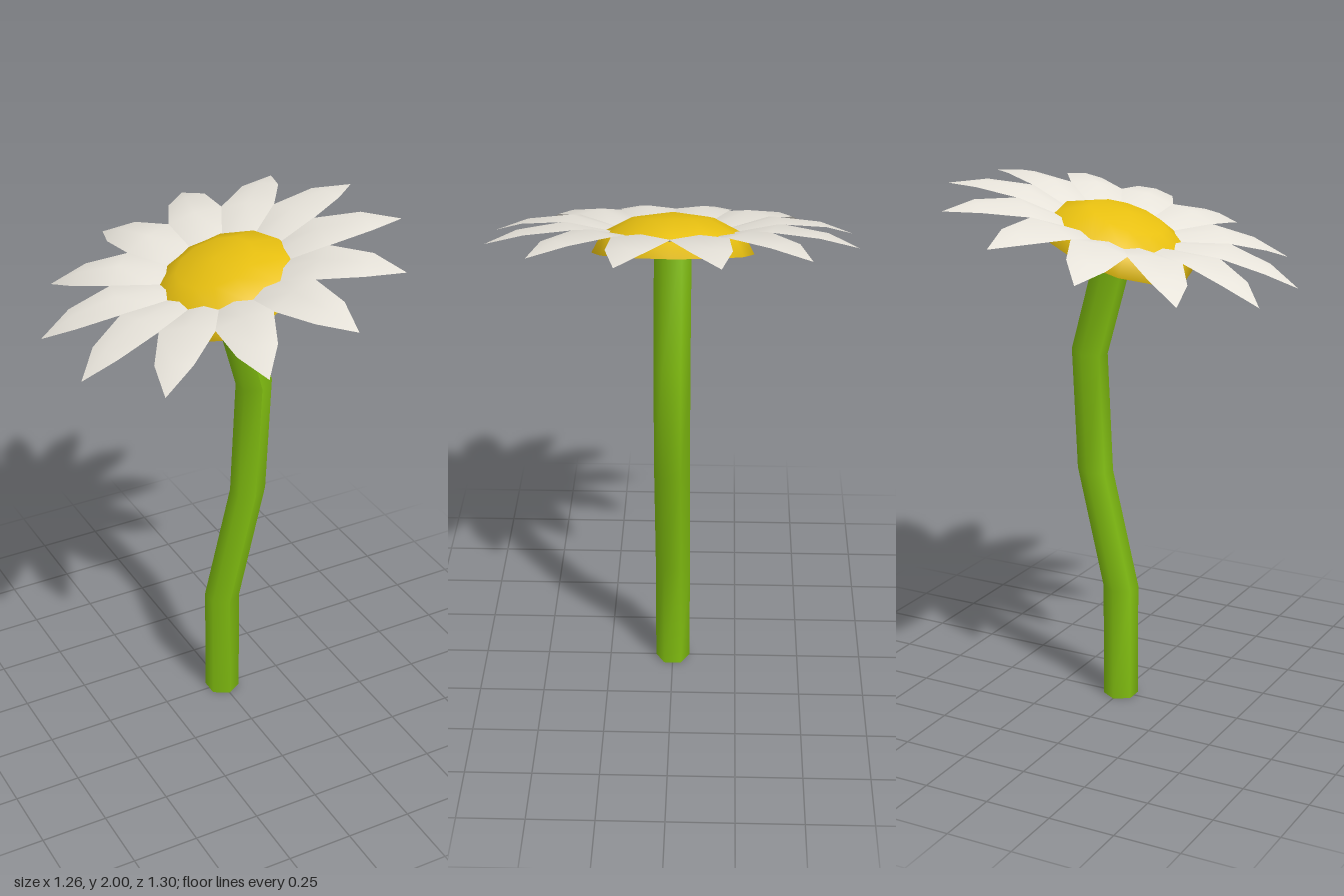
import * as THREE from 'three';

const petalMat = new THREE.MeshStandardMaterial({ color: 0xe8e4db, side: THREE.DoubleSide });
petalMat.name = 'petal white';
const discMat = new THREE.MeshStandardMaterial({ color: 0xe8c010, side: THREE.DoubleSide });
discMat.name = 'disc yellow';
const stemMat = new THREE.MeshStandardMaterial({ color: 0x7fbb10 });
stemMat.name = 'stem green';

// Six-sided stem, bent sideways row by row: [x, y, tilt slope]
function createStem() {
  const rows = [[0, 0, 0], [0, 0.45, 0.03], [0.11, 0.91, 0.13], [0.132, 1.37, 0.18], [0.01, 1.81, 0.28]];
  const geo = new THREE.CylinderGeometry(0.067, 0.067, 1, 6, rows.length - 1);
  const p = geo.attributes.position;
  for (let i = 0; i < p.count; i++) {
    const [x, y, slope] = rows[Math.round((p.getY(i) + 0.5) * (rows.length - 1))];
    p.setXY(i, p.getX(i) + x, y + p.getX(i) * slope);
  }
  geo.computeVertexNormals();
  const stem = new THREE.Mesh(geo, stemMat);
  stem.name = 'stem';
  return stem;
}

// Arched, pointed petal along +x from cross-sections: [radius, half width, ridge height, edge drop]
function petalGeometry() {
  const sections = [
    [0.07, 0.024, 0.0, 0.004],
    [0.24, 0.074, 0.038, 0.012],
    [0.38, 0.104, 0.069, 0.014],
    [0.547, 0.071, 0.047, 0.01],
    [0.673, 0, 0.0, 0],
  ];
  const pos = [], idx = [];
  sections.forEach(([r, w, h, drop], i) => {
    for (let c = -1; c <= 1; c++) pos.push(r, h - drop * Math.abs(c), c * w);
    if (i === sections.length - 1) return;
    for (let c = 0; c < 2; c++) {
      const a = i * 3 + c, b = a + 1, d = a + 3, e = a + 4;
      if (c === 0) idx.push(a, b, e, a, e, d);
      else idx.push(a, b, d, b, e, d);
    }
  });
  const geo = new THREE.BufferGeometry();
  geo.setAttribute('position', new THREE.Float32BufferAttribute(pos, 3));
  geo.setIndex(idx);
  geo.computeVertexNormals();
  return geo;
}

export function createModel() {
  const flower = new THREE.Group();
  flower.name = 'flower';
  flower.add(createStem());

  // Ring of twelve petals, tilted
  const petals = new THREE.Group();
  petals.name = 'petals';
  const geo = petalGeometry();
  for (let i = 0; i < 12; i++) {
    const petal = new THREE.Mesh(geo, petalMat);
    petal.name = 'petal';
    petal.rotation.y = ((i + 0.5) * Math.PI) / 6;
    petals.add(petal);
  }
  petals.position.set(0, 1.82, 0);
  petals.rotation.z = THREE.MathUtils.degToRad(15);
  flower.add(petals);

  // Hollow flattened dome, open below
  const disc = new THREE.Mesh(
    new THREE.SphereGeometry(0.29, 12, 3, 0, Math.PI * 2, 0, Math.PI / 2), discMat);
  disc.name = 'centreDisc';
  disc.scale.y = 0.507;
  disc.position.set(0.015, 1.77, 0);
  disc.rotation.z = THREE.MathUtils.degToRad(20);
  flower.add(disc);

  return flower;
}
